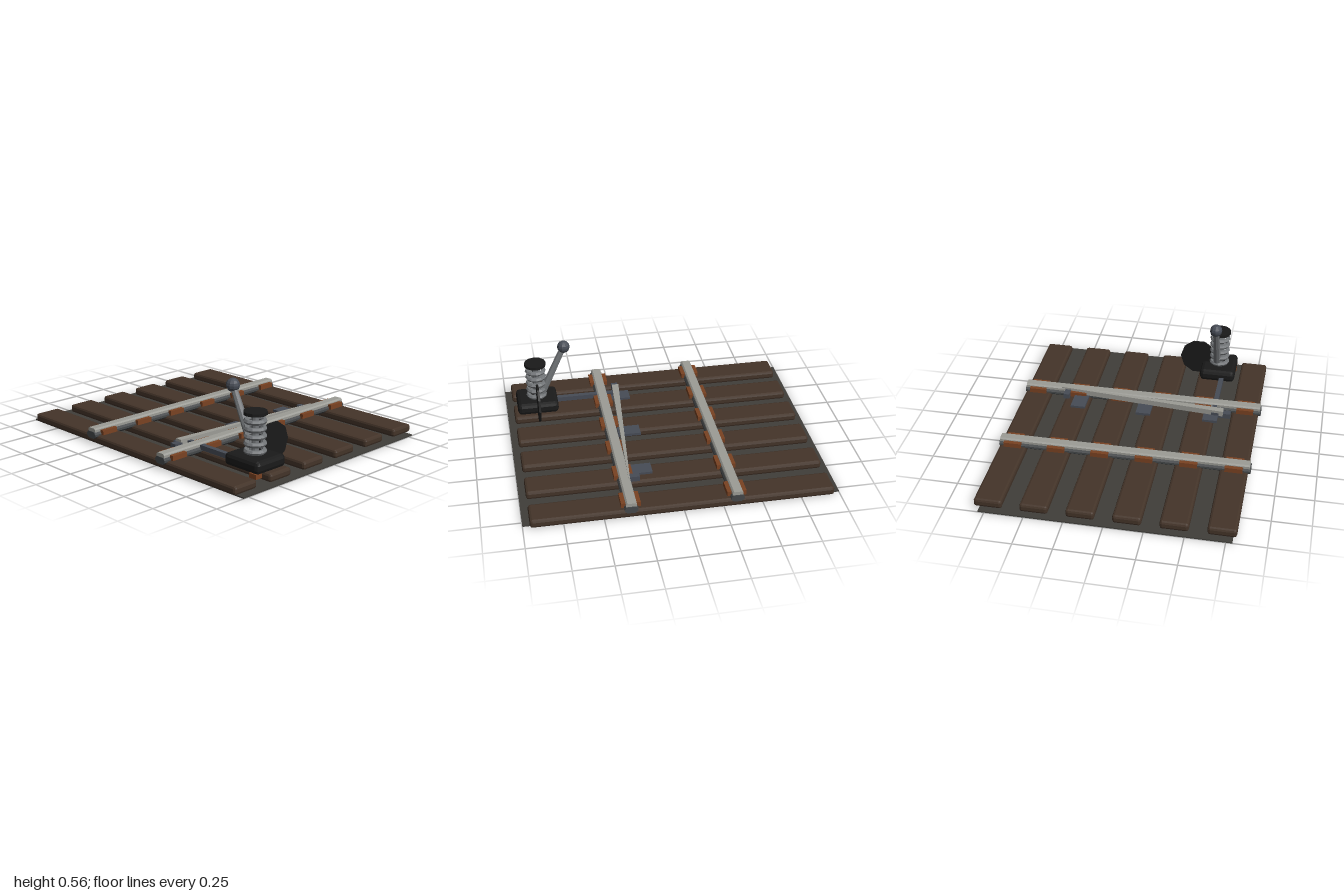
import * as THREE from 'three';
import { RoundedBoxGeometry } from 'three/addons/geometries/RoundedBoxGeometry.js';

const mat = (color) => new THREE.MeshStandardMaterial({ color, flatShading: true });
const M = {
  gravel: mat(0x403e3a),
  wood: mat(0x443429),
  railHead: mat(0x9c9c96),
  railFoot: mat(0x45484a),
  rust: mat(0x7a4222),
  iron: mat(0x474c56),
  steel: mat(0x74777a),
  black: mat(0x1a1a1a),
};

export function createModel() {
  const root = new THREE.Group();

  const add = (name, geometry, material, x = 0, y = 0, z = 0) => {
    const mesh = new THREE.Mesh(geometry, material);
    mesh.name = name;
    mesh.position.set(x, y, z);
    root.add(mesh);
    return mesh;
  };
  const box = (name, material, w, h, d, x, y, z) =>
    add(name, new THREE.BoxGeometry(w, h, d), material, x, y, z);
  // Box with one chamfer along every edge
  const chamferBox = (name, material, w, h, d, r, x, y, z) =>
    add(name, new RoundedBoxGeometry(w, h, d, 1, r), material, x, y, z);
  // Cross-section in x/y, extruded along z and centred
  const profile = (name, material, points, length, x) => {
    const shape = new THREE.Shape(points.map(([px, py]) => new THREE.Vector2(px, py)));
    const g = new THREE.ExtrudeGeometry(shape, { depth: length, bevelEnabled: false });
    return add(name, g.translate(0, 0, -length / 2), material, x, 0, 0);
  };

  // Ballast bed
  box('ballastBed', M.gravel, 2, 0.008, 1.58, 0, 0.004, 0);

  // Sleepers with a rust-coloured chair under each rail
  const railX = 0.333;
  for (let i = 0; i < 6; i++) {
    const z = -0.738 + i * 0.292;
    chamferBox('sleeper', M.wood, 1.915, 0.055, 0.18, 0.016, -0.002, 0.035, z);
    for (const side of [-1, 1]) {
      box('railChair', M.rust, 0.122, 0.032, 0.115, side * railX, 0.08, z);
    }
  }

  // Rails: dark foot and web, bright head
  for (const side of [-1, 1]) {
    profile('railFoot', M.railFoot, [
      [-0.025, 0.043], [0.025, 0.043], [0.042, 0.058], [0.042, 0.072],
      [0.03, 0.088], [-0.03, 0.088], [-0.042, 0.072], [-0.042, 0.058],
    ], 1.66, side * railX);
    profile('railHead', M.railHead, [
      [-0.034, 0.086], [0.034, 0.086], [0.034, 0.102],
      [0.025, 0.111], [-0.025, 0.111], [-0.034, 0.102],
    ], 1.65, side * railX);
  }

  // Tapered switch blade lying against the rail
  const blade = new THREE.Shape();
  blade.moveTo(0.203, -0.58);
  blade.lineTo(0.25, -0.58);
  blade.lineTo(0.312, 0.57);
  blade.lineTo(0.302, 0.57);
  const bladeGeo = new THREE.ExtrudeGeometry(blade, { depth: 0.038, bevelEnabled: false });
  bladeGeo.rotateX(-Math.PI / 2);
  add('switchBlade', bladeGeo, M.railHead, 0, 0.077, 0);

  // Slide plates, heel block, toe block and throw rod
  for (const z of [-0.42, 0.037, 0.497]) {
    box('slidePlate', M.iron, 0.15, 0.018, 0.1, 0.215, 0.069, z);
  }
  box('heelBlock', M.iron, 0.075, 0.035, 0.04, 0.272, 0.085, -0.522);
  box('toeBlock', M.iron, 0.045, 0.035, 0.13, 0.228, 0.08, 0.565);
  box('throwRod', M.iron, 0.46, 0.032, 0.032, 0.46, 0.084, 0.513);

  // Switch stand base and mounting lug
  const sx = 0.79, sz = 0.48;
  chamferBox('standBase', M.black, 0.28, 0.08, 0.245, 0.025, sx, 0.105, sz);
  box('mountingLug', M.rust, 0.06, 0.03, 0.05, 0.886, 0.054, 0.575);

  // Central post wrapped in coils, with a cap
  add('springPost', new THREE.CylinderGeometry(0.022, 0.022, 0.26, 8), M.steel, sx, 0.27, sz);
  for (let i = 0; i < 5; i++) {
    const coil = new THREE.TorusGeometry(0.056, 0.016, 6, 12).rotateX(Math.PI / 2);
    add('springCoil', coil, M.steel, sx, 0.161 + i * 0.0465, sz);
  }
  add('springCap', new THREE.CylinderGeometry(0.074, 0.074, 0.02, 12), M.black, sx, 0.397, sz);

  // Upright signal disc behind the post
  const disc = new THREE.CylinderGeometry(0.13, 0.13, 0.014, 10);
  disc.rotateZ(Math.PI / 2);
  add('signalDisc', disc, M.black, sx, 0.175, 0.33);

  // Leaning throw lever with ball handle
  const foot = new THREE.Vector3(0.775, 0.125, 0.468);
  const tip = new THREE.Vector3(0.59, 0.52, 0.468);
  const dir = tip.clone().sub(foot);
  const lever = add('throwLever', new THREE.CylinderGeometry(0.021, 0.027, dir.length(), 8), M.steel);
  lever.position.copy(foot).add(tip).multiplyScalar(0.5);
  lever.quaternion.setFromUnitVectors(new THREE.Vector3(0, 1, 0), dir.normalize());
  add('leverBall', new THREE.SphereGeometry(0.043, 10, 8), M.iron, tip.x, tip.y, tip.z);

  return root;
}
